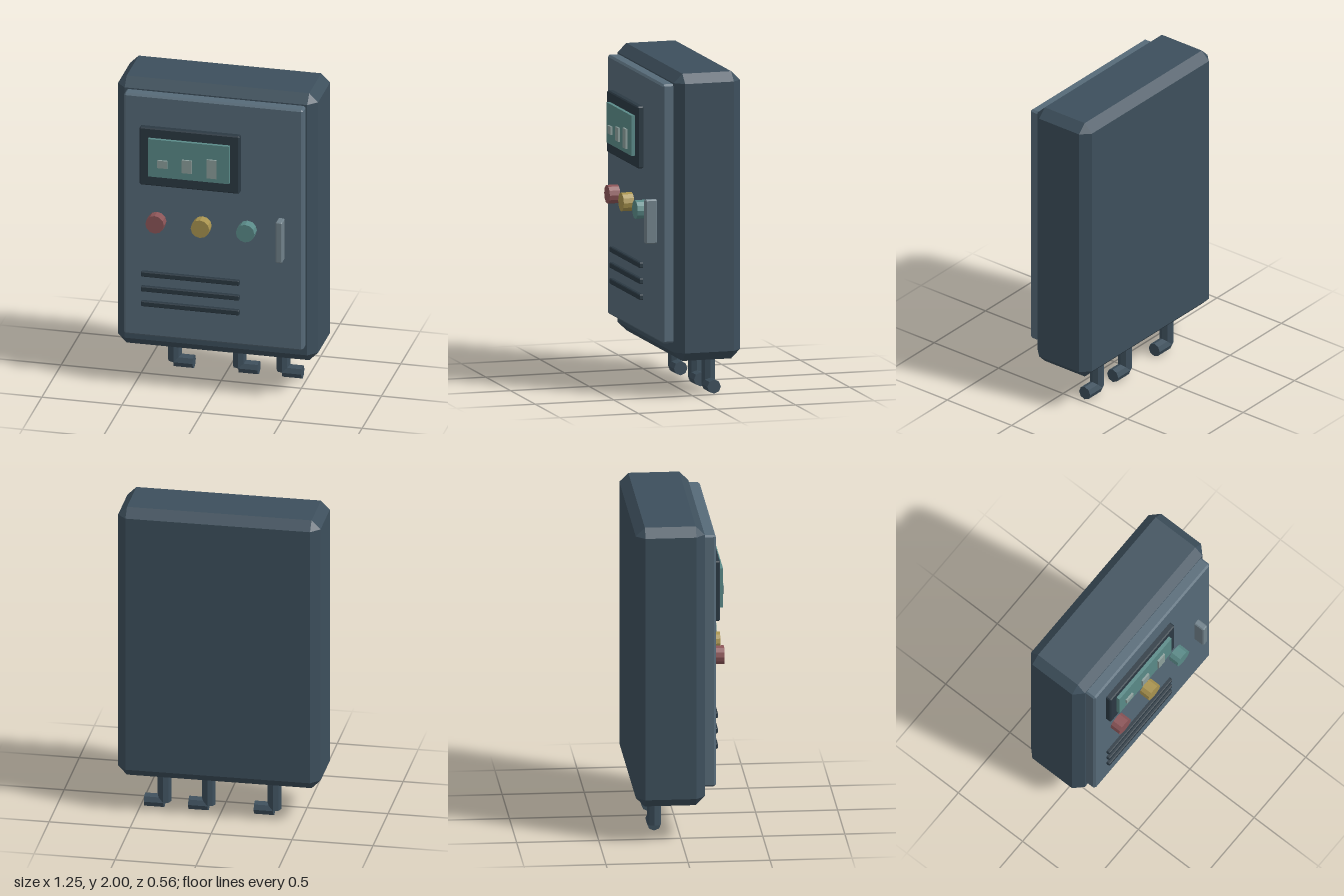
import * as THREE from 'three';
import { ConvexGeometry } from 'three/addons/geometries/ConvexGeometry.js';

const mat = (color) => new THREE.MeshStandardMaterial({ color, flatShading: true });

// Box between two corners with every edge cut by a flat chamfer
function chamferBox([x0, y0, z0], [x1, y1, z1], c) {
  const half = [(x1 - x0) / 2, (y1 - y0) / 2, (z1 - z0) / 2];
  const points = [];
  for (const sx of [-1, 1]) for (const sy of [-1, 1]) for (const sz of [-1, 1]) {
    for (let outer = 0; outer < 3; outer++) {
      const h = half.map((v, i) => (i === outer ? v : v - c));
      points.push(new THREE.Vector3(sx * h[0], sy * h[1], sz * h[2]));
    }
  }
  return new ConvexGeometry(points).translate((x0 + x1) / 2, (y0 + y1) / 2, (z0 + z1) / 2);
}

function plainBox([x0, y0, z0], [x1, y1, z1]) {
  return new THREE.BoxGeometry(x1 - x0, y1 - y0, z1 - z0)
    .translate((x0 + x1) / 2, (y0 + y1) / 2, (z0 + z1) / 2);
}

export function createModel() {
  const model = new THREE.Group();
  model.name = 'controlCabinet';
  const body = mat(0x3d4f5c), panel = mat(0x566a78), dark = mat(0x2b3943);
  const teal = mat(0x5a8a88), pale = mat(0x8c9f9c), metal = mat(0x70818a);
  const red = mat(0x8c5558), yellow = mat(0xa8934f);

  const add = (name, geometry, material, parent = model) => {
    const mesh = new THREE.Mesh(geometry, material);
    mesh.name = name;
    parent.add(mesh);
    return mesh;
  };

  // Cabinet and door
  add('cabinet', chamferBox([-0.625, 0.23, -0.28], [0.625, 2, 0.14], 0.055), body);
  add('door', chamferBox([-0.56, 0.34, 0.12], [0.56, 1.937, 0.209], 0.012), panel);

  // Display with three bars
  const display = new THREE.Group();
  display.name = 'display';
  model.add(display);
  add('displayFrame', chamferBox([-0.452, 1.357, 0.2], [0.172, 1.738, 0.245], 0.007), dark, display);
  add('screen', plainBox([-0.394, 1.427, 0.235], [0.113, 1.675, 0.267]), teal, display);
  [[-0.302, 0.05], [-0.149, 0.085], [0.005, 0.122]].forEach(([x, h], i) => {
    add(`screenBar${i + 1}`,
      plainBox([x - 0.031, 1.518 - h / 2, 0.255], [x + 0.031, 1.518 + h / 2, 0.279]), pale, display);
  });

  // Push buttons
  [[-0.35, red], [-0.067, yellow], [0.215, teal]].forEach(([x, material], i) => {
    const geometry = new THREE.CylinderGeometry(0.058, 0.058, 0.077, 12).rotateX(Math.PI / 2);
    add(`button${i + 1}`, geometry, material).position.set(x, 1.114, 0.2375);
  });

  // Door handle
  add('handle', chamferBox([0.405, 0.938, 0.203], [0.446, 1.21, 0.279], 0.007), metal);

  // Vent slats
  [0.758, 0.66, 0.562].forEach((y, i) => {
    add(`ventSlat${i + 1}`, chamferBox([-0.447, y - 0.017, 0.203], [0.167, y + 0.017, 0.232], 0.005), dark);
  });

  // Elbow conduits under the cabinet
  const r = 0.043;
  [-0.325, 0.08, 0.353].forEach((x, i) => {
    const conduit = new THREE.Group();
    conduit.name = `conduit${i + 1}`;
    conduit.position.set(x, r, -0.147);
    model.add(conduit);
    add('conduitDrop', new THREE.CylinderGeometry(r, r, 0.24, 8).translate(0, 0.12, 0), body, conduit);
    add('conduitOutlet',
      new THREE.CylinderGeometry(r, r, 0.12, 8).rotateZ(Math.PI / 2).translate(0.06, 0, 0), body, conduit);
  });

  return model;
}
